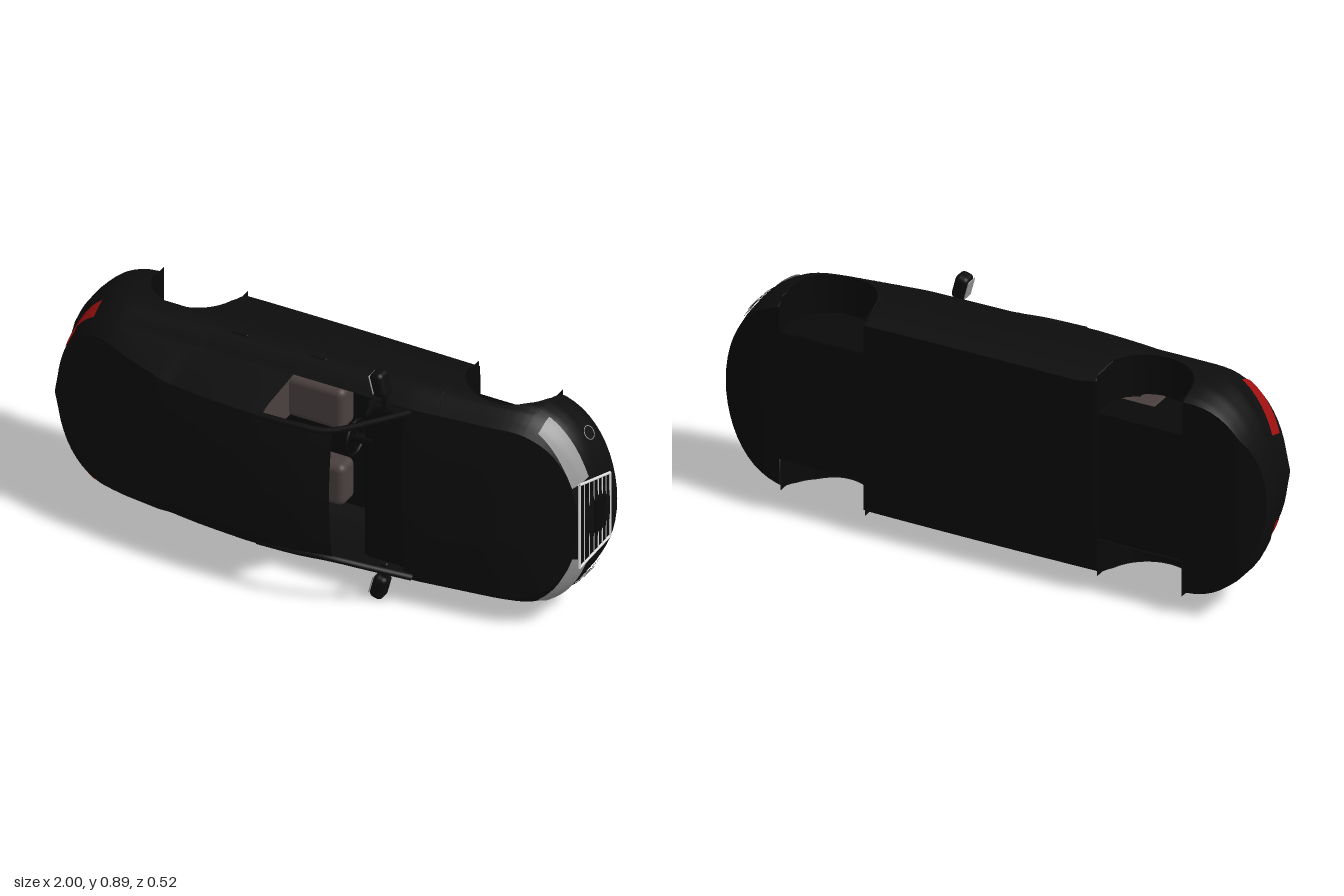
import * as THREE from 'three';
import { RoundedBoxGeometry } from 'three/addons/geometries/RoundedBoxGeometry.js';

const mat = (name, color) => {
  const m = new THREE.MeshStandardMaterial({ color, side: THREE.DoubleSide });
  m.name = name;
  return m;
};

// piecewise linear curve through [x, value] pairs
const curve = (pts) => (x) => {
  if (x <= pts[0][0]) return pts[0][1];
  for (let i = 1; i < pts.length; i++) {
    const [a, p] = pts[i - 1], [b, q] = pts[i];
    if (x <= b) return p + ((q - p) * (x - a)) / (b - a);
  }
  return pts[pts.length - 1][1];
};

// surface grid from a rule fn(i, j) -> [x, y, z]
function grid(nu, nv, fn) {
  const pos = [], idx = [];
  for (let i = 0; i < nu; i++) for (let j = 0; j < nv; j++) pos.push(...fn(i, j));
  for (let i = 0; i < nu - 1; i++) for (let j = 0; j < nv - 1; j++) {
    const a = i * nv + j, b = a + nv;
    idx.push(a, b, a + 1, b, b + 1, a + 1);
  }
  const g = new THREE.BufferGeometry();
  g.setAttribute('position', new THREE.Float32BufferAttribute(pos, 3));
  g.setIndex(idx);
  g.computeVertexNormals();
  return g;
}

// body curves: x runs along the car, y is its height, z its width
const belt = curve([[-1, 0.075], [-0.8, 0.08], [-0.4, 0.07], [0.38, 0.065], [0.67, 0.03], [0.83, 0], [0.95, -0.03], [1, -0.04]]);
const base = curve([[-1, -0.15], [-0.93, -0.22], [-0.73, -0.24], [-0.42, -0.24], [-0.38, -0.26], [0.85, -0.26], [1, -0.245]]);
const roofY = curve([[-0.96, 0.09], [-0.9, 0.1], [-0.8, 0.13], [-0.65, 0.185], [-0.5, 0.225], [-0.32, 0.247], [-0.13, 0.258], [0.05, 0.247], [0.16, 0.22]]);
const inset = curve([[0, 0.85], [0.03, 0.92], [0.06, 0.97], [0.1, 1]]);
const tuck = curve([[-0.26, 0.89], [-0.22, 0.96], [-0.15, 1]]);
const noseK = curve([[0, 0.87], [0.03, 0.94], [0.1, 0.98], [0.2, 1]]);
const tailK = curve([[0, 0.86], [0.1, 0.85], [0.14, 0.99], [0.17, 1]]);
const half = (x) => {
  const t = Math.max(0, (Math.abs(x) - 0.7) / 0.3);
  return (0.395 - 0.012 * Math.min(1, x * x)) * Math.sqrt(Math.max(0, 1 - t ** 2.5));
};
const surf = (x, y, s = 1, out = 0) => {
  const d = belt(x) - y, ax = Math.abs(x);
  const k = x > 0 ? noseK(d) : tailK(d);
  const X = ax > 0.7 ? Math.sign(x) * (0.7 + (ax - 0.7) * k + out) : x;
  return [X, y, s * (half(x) * inset(d) * tuck(y) + out)];
};

// wheel arches
const AR = 0.16, AY = -0.2, arches = [-0.57, 0.63];
const inArch = (x) => arches.find((c) => Math.abs(x - c) <= AR + 1e-6);
const bottom = (x) => {
  const c = inArch(x);
  return c === undefined ? base(x) : AY + Math.sqrt(Math.max(0, AR * AR - (x - c) ** 2));
};

const stations = [];
for (let i = 0; i <= 14; i++) {
  const e = 0.7 + 0.3 * Math.sin((i / 14) * Math.PI / 2);
  stations.push(e, -e, -0.4 + (i / 14) * 0.86);
}
stations.push(-0.08, 0.16, 0.36);
for (const c of arches) {
  for (let i = 0; i <= 20; i++) stations.push(c - AR * Math.cos((i / 20) * Math.PI));
  stations.push(c - AR - 0.001, c + AR + 0.001);
}
stations.sort((a, b) => a - b);

export function createModel() {
  const paint = mat('black paint', 0x0d0d0d);
  const trim = mat('dark trim', 0x090909);
  const cloth = mat('brown upholstery', 0x4a3f3f);
  const lamp = mat('headlight grey', 0x999999);
  const red = mat('tail light red', 0xa01010);
  const chrome = mat('chrome', 0xdcdcdc);

  const car = new THREE.Group();
  car.name = 'car';
  const add = (name, geo, m, p = [0, 0, 0], r = [0, 0, 0]) => {
    const o = new THREE.Mesh(geo, m);
    o.name = name;
    o.position.set(...p);
    o.rotation.set(...r);
    car.add(o);
    return o;
  };
  const rbox = (x, y, z, r) => new RoundedBoxGeometry(x, y, z, 3, r);

  // lower body shell, one loop around the car
  const loop = [...stations.map((x) => [x, 1]), ...[...stations].reverse().map((x) => [x, -1])];
  add('bodyShell', grid(loop.length, 21, (i, j) => {
    const [x, s] = loop[i], b = bottom(x);
    return surf(x, b + (belt(x) - b) * (j / 20), s);
  }), paint);

  // hood
  const hood = stations.filter((x) => x >= 0.36);
  add('hood', grid(hood.length, 17, (i, j) => {
    const x = hood[i], t = j / 8 - 1, p = surf(x, belt(x));
    return [p[0], p[1] + 0.022 * Math.min(1, (1 - x) / 0.3) * (1 - t * t), p[2] * t];
  }), paint);

  // underbody, narrower between the wheel wells
  add('underbody', grid(stations.length, 2, (i, j) => {
    const x = stations[i], p = surf(x, base(x));
    const w = inArch(x) === undefined ? p[2] : Math.min(p[2], 0.24);
    return [p[0], p[1], j ? w : -w];
  }), trim);

  // wheel wells
  for (const c of arches) for (const s of [1, -1]) {
    const sh = new THREE.Shape();
    sh.moveTo(c + AR, -0.25);
    sh.lineTo(c + AR, AY);
    sh.absarc(c, AY, AR, 0, Math.PI, false);
    sh.lineTo(c - AR, -0.25);
    const pts = sh.getPoints(24);
    add('wheelWellWall', new THREE.ShapeGeometry(sh, 24), trim, [0, 0, s * 0.24]);
    add('wheelWell', grid(pts.length, 2, (i, j) => {
      const z = j ? Math.max(0.24, surf(pts[i].x, Math.max(pts[i].y, AY))[2] - 0.003) : 0.24;
      return [pts[i].x, pts[i].y, s * z];
    }), trim);
  }

  // roof running down into the tail
  const roofEdge = (x) => {
    const p = surf(x, belt(x)), top = roofY(p[0]);
    const lean = 0.76 + 0.2 * Math.max(0, (-x - 0.45) / 0.55);
    return { p, top, y: Math.max(p[1], top - 0.022), z: p[2] * lean };
  };
  const roofX = stations.filter((x) => x <= 0.161);
  add('roof', grid(roofX.length, 17, (i, j) => {
    const e = roofEdge(roofX[i]), t = j / 8 - 1;
    return [e.p[0], e.y + (e.top - e.y) * (1 - t * t), e.z * t];
  }), paint);

  const backX = stations.filter((x) => x <= -0.079);
  for (const s of [1, -1]) {
    // rear quarter with dark side glass
    add('rearQuarter', grid(backX.length, 5, (i, j) => {
      const e = roofEdge(backX[i]), v = j / 4;
      const lean = i === backX.length - 1 ? (0.5 - v) * 0.04 : 0;
      return [e.p[0] + lean, e.p[1] + (e.y - e.p[1]) * v, s * (e.p[2] + (e.z - e.p[2]) * v)];
    }), paint);

    // roof rail and windscreen pillar
    const path = [[-0.11, 0.226, 0.25], [0.04, 0.218, 0.25], [0.15, 0.198, 0.252], [0.27, 0.137, 0.287], [0.39, 0.068, 0.327]];
    add('windscreenPillar', new THREE.TubeGeometry(
      new THREE.CatmullRomCurve3(path.map(([x, y, z]) => new THREE.Vector3(x, y, s * z))), 24, 0.012, 8), paint);
    add('windowStrut', new THREE.BoxGeometry(0.012, 0.07, 0.01), trim, [0.25, 0.095, s * 0.315], [-s * 0.4, 0, 0]);

    // door mirror
    add('mirrorArm', rbox(0.025, 0.02, 0.08, 0.008), paint, [0.285, 0.06, s * 0.345]);
    add('mirrorHousing', rbox(0.05, 0.06, 0.092, 0.018), paint, [0.268, 0.06, s * 0.4], [0, -s * 0.25, 0]);
    add('mirrorGlass', rbox(0.004, 0.045, 0.07, 0.002), lamp, [0.242, 0.06, s * 0.395], [0, -s * 0.25, 0]);

    // lamps wrapped around the corners
    const patch = (name, m, x0, x1, lo, hi, out) => add(name, grid(17, 7, (i, j) => {
      const u = i / 16, x = x0 + (x1 - x0) * Math.sin(u * Math.PI / 2);
      const a = lo(u), b = hi(u);
      return surf(x, a + (b - a) * (j / 6), s, out);
    }), m);
    patch('headlight', lamp, 0.83, 0.978, (u) => -0.085 - 0.018 * u, (u) => -0.02 - 0.014 * u, 0.004);
    patch('tailLight', red, -0.84, -0.975, () => 0.002, (u) => 0.062 - 0.012 * u, 0.004);
    for (let k = 0; k < 4; k++) {
      const y = -0.165 - k * 0.016;
      patch('bumperSlat', trim, 0.86, 0.945, () => y - 0.004, () => y + 0.004, 0.004);
    }

    // fog lamp
    const f = surf(0.925, -0.182, s, 0.005), turn = s > 0 ? 0.95 : Math.PI - 0.95;
    add('fogLampRing', new THREE.TorusGeometry(0.024, 0.0015, 6, 28), lamp, f, [0, turn, 0]);
    add('fogLampLens', new THREE.CircleGeometry(0.023, 24), trim, f, [0, turn, 0]);

    // door handles
    for (const x of [-0.3, 0]) add('doorHandle', rbox(0.06, 0.012, 0.012, 0.004), paint, [x, 0.0, s * 0.382]);
  }

  // grille, leaning back towards the hood
  const grille = new THREE.Group();
  grille.name = 'grille';
  car.add(grille);
  const gx = (y) => 0.995 - 0.022 * ((y + 0.205) / 0.175);
  const gw = (y) => 0.125 + 0.04 * ((y + 0.205) / 0.175);
  const rod = (name, a, b, r) => {
    const va = new THREE.Vector3(gx(a[0]), a[0], a[1]), vb = new THREE.Vector3(gx(b[0]), b[0], b[1]);
    const o = new THREE.Mesh(new THREE.TubeGeometry(new THREE.LineCurve3(va, vb), 1, r, 8), chrome);
    o.name = name;
    grille.add(o);
  };
  const backing = new THREE.Mesh(grid(2, 2, (i, j) => {
    const y = i ? -0.033 : -0.202;
    return [gx(y) - 0.002, y, (j ? 1 : -1) * gw(y)];
  }), trim);
  backing.name = 'grilleBacking';
  grille.add(backing);
  for (const y of [-0.205, -0.033]) rod('grilleFrame', [y, -gw(y)], [y, gw(y)], 0.005);
  for (const s of [1, -1]) rod('grilleFrame', [-0.205, s * gw(-0.205)], [-0.033, s * gw(-0.033)], 0.005);
  for (const y of [-0.062, -0.09, -0.115, -0.138, -0.16, -0.182]) rod('grilleBar', [y, -gw(y)], [y, gw(y)], 0.0025);
  add('numberPlateHolder', new THREE.BoxGeometry(0.008, 0.055, 0.12), trim, [0.994, -0.138, 0], [0, 0, 0.12]);

  // dashboard and steering wheel
  add('dashboard', rbox(0.2, 0.12, 0.62, 0.025), trim, [0.3, 0.005, 0]);
  add('steeringWheel', new THREE.TorusGeometry(0.062, 0.007, 8, 32), trim, [0.17, 0.06, -0.155], [0, Math.PI / 2, 0]);
  add('steeringHub', new THREE.CylinderGeometry(0.018, 0.018, 0.08, 16), trim, [0.2, 0.055, -0.155], [0, 0, Math.PI / 2]);
  add('steeringSpoke', new THREE.BoxGeometry(0.008, 0.012, 0.12), trim, [0.17, 0.06, -0.155]);

  // seats with tapered backs
  const outline = [[-0.07, -0.14], [0.07, -0.14], [0.072, 0.09], [0.035, 0.175], [0.02, 0.188], [-0.02, 0.188], [-0.035, 0.175], [-0.072, 0.09]];
  const seatBack = new THREE.ExtrudeGeometry(new THREE.Shape(outline.map(([x, y]) => new THREE.Vector2(x, y))),
    { depth: 0.06, bevelSize: 0.012, bevelThickness: 0.015, bevelSegments: 3 });
  for (const [x, z, h] of [[-0.22, 0.15, 1], [-0.22, -0.15, 1], [-0.55, 0.16, 0.8], [-0.55, 0, 0.8], [-0.55, -0.16, 0.8]]) {
    add('seatBack', seatBack, cloth, [x, 0, z], [0, Math.PI / 2, 0]).scale.y = h;
    add('seatCushion', rbox(0.24, 0.09, 0.16, 0.025), cloth, [x + 0.16, -0.1, z]);
  }

  // the car rests on its side
  car.rotation.x = Math.PI / 2;
  car.position.y = 0.45;
  const model = new THREE.Group();
  model.name = 'carModel';
  model.add(car);
  return model;
}
